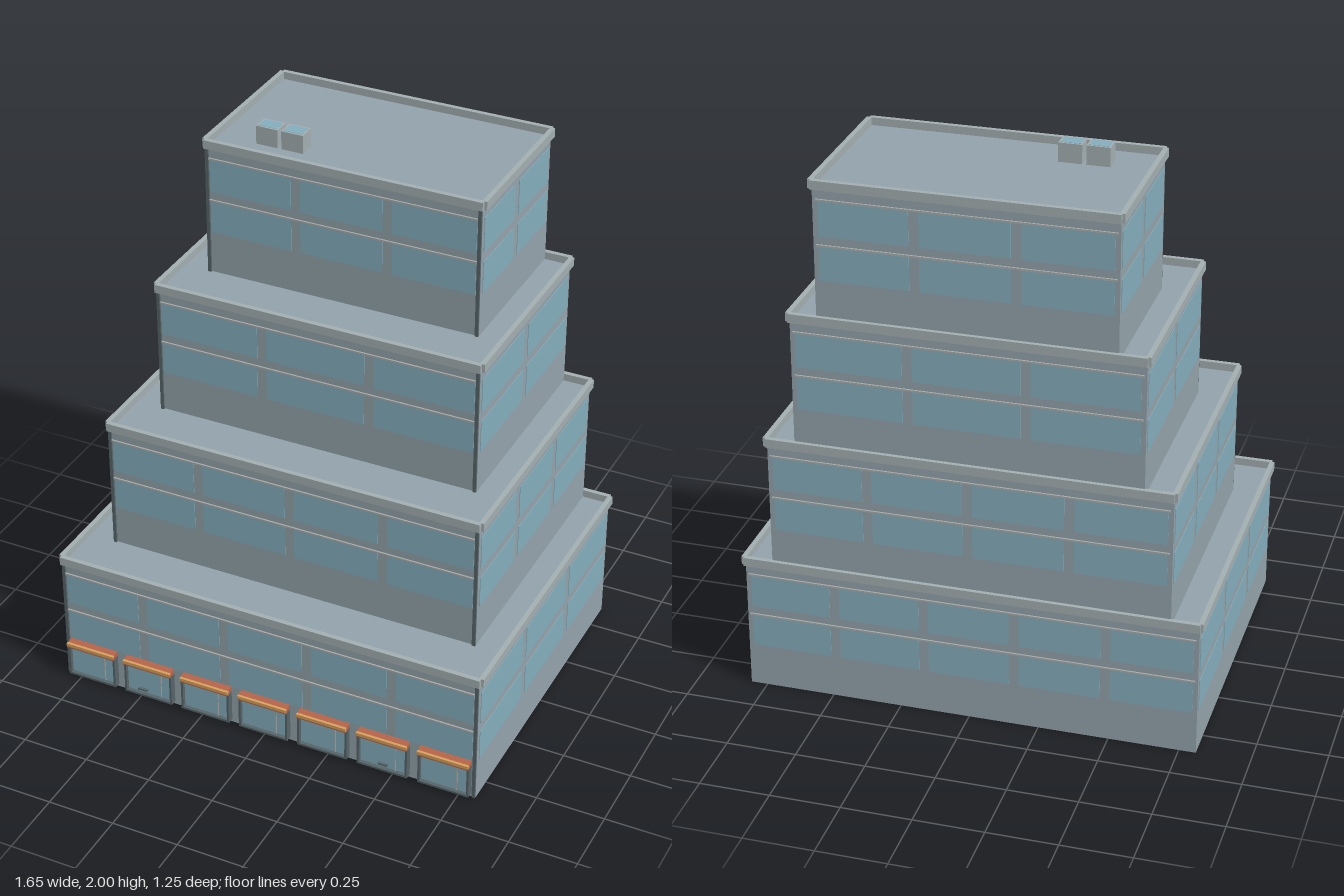
import * as THREE from 'three';

const mat = (color) => new THREE.MeshStandardMaterial({ color });
const WALL = mat(0x93a3ab), GLASS = mat(0x84adbc), TRIM = mat(0xa3aeb1), DARK = mat(0x566468);
const LEDGE = mat(0xa9abab), ORANGE = mat(0xd9a05c), RED = mat(0xb5644a);

// Box given by its limits on each axis
function block(parent, name, material, [x0, x1], [y0, y1], [z0, z1]) {
  const mesh = new THREE.Mesh(new THREE.BoxGeometry(x1 - x0, y1 - y0, z1 - z0), material);
  mesh.position.set((x0 + x1) / 2, (y0 + y1) / 2, (z0 + z1) / 2);
  mesh.name = name;
  parent.add(mesh);
  return mesh;
}

// Evenly spaced panes along a wall, as [start, end] pairs
function bays(from, to, count, gap) {
  const step = (to - from) / count;
  return Array.from({ length: count }, (_, i) => [from + i * step + gap / 2, from + (i + 1) * step - gap / 2]);
}

const BACK = -0.61;

function tier({ half, front, base, top, frontBays, sideBays }) {
  const g = new THREE.Group();
  g.name = 'tier';
  const roof = top - 0.028;
  block(g, 'walls', WALL, [-half, half], [base, roof], [BACK, front]);

  // Two rows of glazing on every wall
  const rows = [[top - 0.355, top - 0.235], [top - 0.198, top - 0.068]];
  const t = 0.002;
  for (const row of rows) {
    for (const b of bays(-half, half, frontBays, 0.035)) {
      block(g, 'frontWindow', GLASS, b, row, [front - t, front + t]);
      block(g, 'backWindow', GLASS, b, row, [BACK - t, BACK + t]);
    }
    for (const b of bays(BACK, front, sideBays, 0.035)) {
      block(g, 'leftWindow', GLASS, [half - t, half + t], row, b);
      block(g, 'rightWindow', GLASS, [-half - t, -half + t], row, b);
    }
  }

  // Thin ledges across the front and back
  for (const y of [top - 0.23, top - 0.07]) {
    const h = [y - 0.003, y + 0.003];
    block(g, 'frontLedge', LEDGE, [-half + 0.01, half - 0.01], h, [front, front + 0.006]);
    block(g, 'backLedge', LEDGE, [-half + 0.01, half - 0.01], h, [BACK - 0.006, BACK]);
  }

  // Parapet: four strips standing above the roof
  const rim = [top - 0.032, top];
  block(g, 'frontParapet', TRIM, [-half - 0.003, half + 0.003], rim, [front - 0.008, front + 0.01]);
  block(g, 'backParapet', TRIM, [-half - 0.003, half + 0.003], rim, [BACK - 0.015, BACK + 0.003]);
  for (const s of [-1, 1]) {
    const x = s * (half + 0.004);
    block(g, 'sideParapet', TRIM, [x - 0.009, x + 0.009], rim, [BACK - 0.005, front - 0.004]);
    // Front corner posts
    const p = s * (half - 0.007);
    block(g, 'cornerPost', DARK, [p - 0.006, p + 0.006], [base, top - 0.032], [front - 0.002, front + 0.007]);
  }
  return g;
}

function shopfront() {
  const g = new THREE.Group();
  g.name = 'shopfront';
  const w = 0.096, z = 0.59;
  block(g, 'shopWindow', GLASS, [-w + 0.006, w - 0.006], [0.015, 0.135], [z, z + 0.012]);
  for (const s of [-1, 1]) {
    const x = s * (w - 0.004);
    block(g, 'framePost', DARK, [x - 0.004, x + 0.004], [0.012, 0.138], [z, z + 0.026]);
  }
  block(g, 'frameSill', DARK, [-w, w], [0.012, 0.02], [z, z + 0.026]);
  block(g, 'frameHead', DARK, [-w, w], [0.13, 0.138], [z, z + 0.026]);
  block(g, 'mullion', LEDGE, [0.045, 0.049], [0.02, 0.13], [z + 0.01, z + 0.015]);
  // Sloping awning with a coloured valance
  const shape = new THREE.Shape([[0, 0.138], [0.035, 0.138], [0.035, 0.148], [0.012, 0.157], [0, 0.157]]
    .map(([a, b]) => new THREE.Vector2(a, b)));
  const awning = new THREE.Mesh(new THREE.ExtrudeGeometry(shape, { depth: 2 * w, bevelEnabled: false }), RED);
  awning.rotation.y = -Math.PI / 2;
  awning.position.set(w, 0, z);
  awning.name = 'awning';
  g.add(awning);
  block(g, 'awningStripe', ORANGE, [-w, w], [0.143, 0.155], [z + 0.025, z + 0.0355]);
  return g;
}

export function createModel() {
  const model = new THREE.Group();
  model.name = 'steppedBuilding';

  // Four storeys stepping back from the front and sides
  const tiers = [
    { half: 0.81, front: 0.59, base: 0, top: 0.515, frontBays: 5, sideBays: 3 },
    { half: 0.71, front: 0.39, base: 0.48, top: 0.995, frontBays: 4, sideBays: 3 },
    { half: 0.61, front: 0.185, base: 0.96, top: 1.475, frontBays: 3, sideBays: 2 },
    { half: 0.515, front: -0.02, base: 1.44, top: 1.96, frontBays: 3, sideBays: 2 },
  ];
  tiers.forEach((t) => model.add(tier(t)));

  // Row of shops along the street
  for (let i = -3; i <= 3; i++) {
    const shop = shopfront();
    shop.position.x = i * 0.232;
    model.add(shop);
  }
  for (const x of [-0.49, 0.465]) {
    block(model, 'doorHandle', DARK, [x - 0.018, x + 0.018], [0.032, 0.038], [0.6, 0.612]);
  }

  // Rooftop units
  for (const x of [-0.327, -0.231]) {
    block(model, 'roofUnit', TRIM, [x - 0.041, x + 0.041], [1.925, 2], [-0.178, -0.115]);
    block(model, 'roofUnitLid', GLASS, [x - 0.034, x + 0.034], [1.99, 2.001], [-0.171, -0.122]);
  }
  return model;
}
